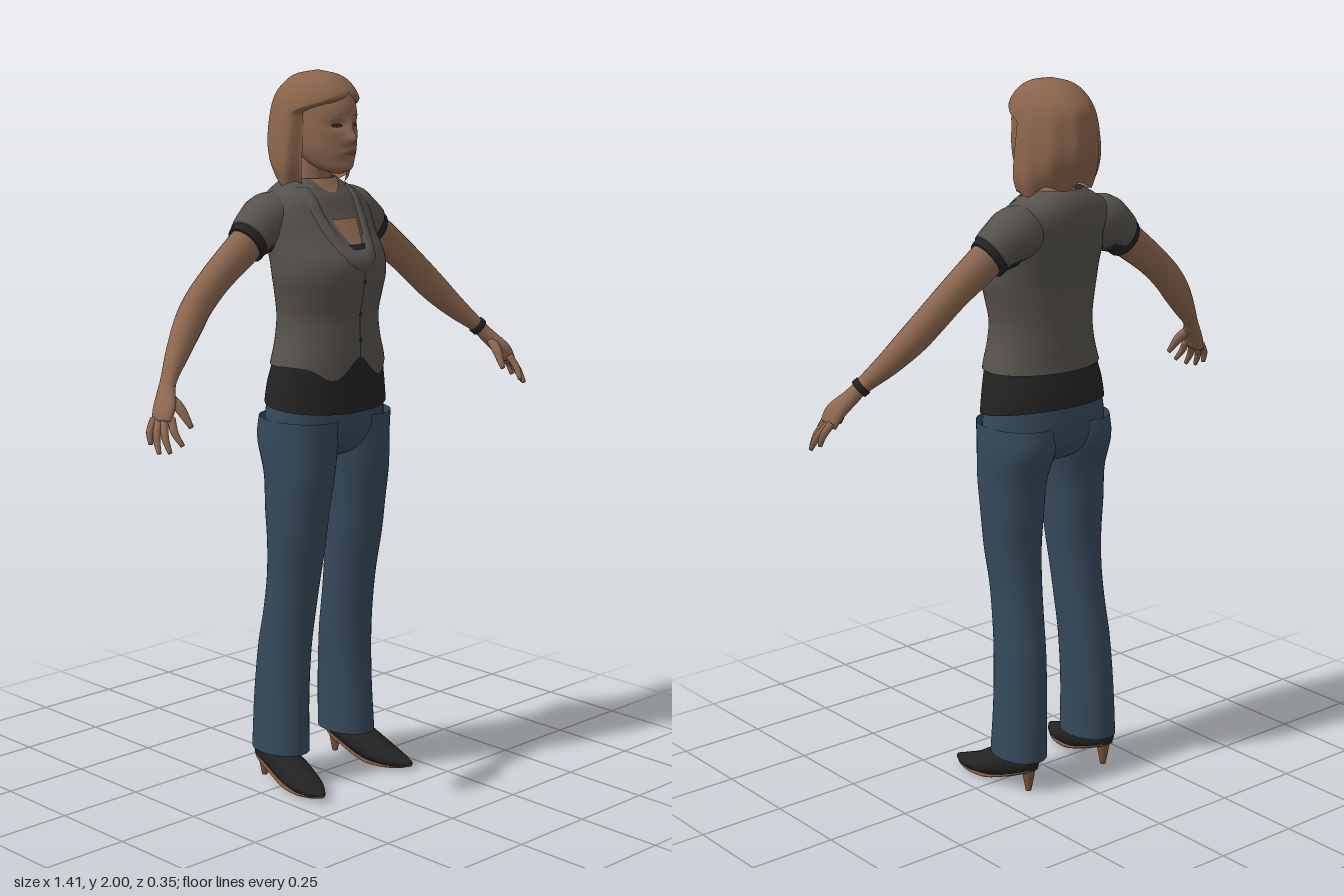
import * as THREE from 'three';
import { mergeVertices } from 'three/addons/utils/BufferGeometryUtils.js';

const mat = (name, color, side = THREE.FrontSide) => {
  const m = new THREE.MeshStandardMaterial({ color, side });
  m.name = name;
  return m;
};
const lerp = THREE.MathUtils.lerp;
const smooth = THREE.MathUtils.smoothstep;
const bell = (v, c, w) => Math.exp(-(((v - c) / w) ** 2));

// Smooth interpolation of table rows, keyed by the first column
function at(rows, k) {
  let i = 0;
  while (i < rows.length - 2 && (k - rows[i][0]) * (k - rows[i + 1][0]) > 0) i++;
  const a = rows[i], b = rows[i + 1], p = rows[i - 1] || a, n = rows[i + 2] || b;
  const d = b[0] - a[0], t = THREE.MathUtils.clamp((k - a[0]) / d, 0, 1);
  return a.map((v, c) => {
    const m0 = (b[c] - p[c]) / (b[0] - p[0]) * d, m1 = (n[c] - v) / (n[0] - a[0]) * d;
    const t2 = t * t, t3 = t2 * t;
    return (2 * t3 - 3 * t2 + 1) * v + (t3 - 2 * t2 + t) * m0 + (3 * t2 - 2 * t3) * b[c] + (t3 - t2) * m1;
  });
}

// Grid surface from fn(u, v) -> [x, y, z]; the front side is du x dv
function surface(nu, nv, fn) {
  const pos = [], idx = [];
  for (let i = 0; i <= nu; i++) for (let j = 0; j <= nv; j++) pos.push(...fn(i / nu, j / nv));
  for (let i = 0; i < nu; i++) for (let j = 0; j < nv; j++) {
    const a = i * (nv + 1) + j, b = a + nv + 1;
    idx.push(a, b, a + 1, b, b + 1, a + 1);
  }
  let g = new THREE.BufferGeometry();
  g.setAttribute('position', new THREE.Float32BufferAttribute(pos, 3));
  g.setIndex(idx);
  g = mergeVertices(g, 1e-5);
  g.computeVertexNormals();
  return g;
}

// Horizontal elliptical rings, rows from top down: [y, cx, cz, rx, rz]
function loft(rows, { nu = 40, nv = 40, side = 1, grow = 0, top = rows[0][0], bottom = () => rows[rows.length - 1][0], bump } = {}) {
  return surface(nu, nv, (u, v) => {
    const a = v * Math.PI * 2, y = lerp(top, bottom(a), u);
    const [, cx, cz, rx, rz] = at(rows, y);
    const x = cx * side + (rx + grow) * Math.sin(a), z = cz + (rz + grow) * Math.cos(a);
    return [x, y, z + (bump && Math.cos(a) > 0 ? bump(x, y) : 0)];
  });
}

// Closed tube along points [x, y, z, r, r2]; r lies towards ref, r2 across it
function limb(points, { side = 1, ref = [0, 0, 1], nu = 24, nv = 20 } = {}) {
  const rows = points.map(([x, y, z, r, r2 = r], i) => [i, x * side, y, z, r, r2]);
  const last = rows.length - 1, P = (k) => new THREE.Vector3(...at(rows, k).slice(1, 4));
  return surface(nu + 2, nv, (u, v) => {
    const i = Math.round(u * (nu + 2)), k = THREE.MathUtils.clamp((i - 1) / nu, 0, 1) * last;
    const q = at(rows, k), f = i === 0 || i === nu + 2 ? 0 : 1, a = v * Math.PI * 2;
    const T = P(Math.min(k + 0.05, last)).sub(P(Math.max(k - 0.05, 0))).normalize();
    const n = new THREE.Vector3(...ref);
    n.addScaledVector(T, -n.dot(T)).normalize();
    const b = n.clone().cross(T);
    return P(k).addScaledVector(n, f * q[4] * Math.cos(a)).addScaledVector(b, f * q[5] * Math.sin(a)).toArray();
  });
}

// Thin painted plate lying on a front surface
const patch = (zAt, cx, y0, y1, halfWidth, off = 0.004) => surface(16, 12, (u, v) => {
  const x = cx + (2 * u - 1) * halfWidth(v), y = lerp(y0, y1, v);
  return [x, y, zAt(x, y) + off];
});
const oval = (w) => (v) => w * Math.sqrt(Math.max(0, 1 - (2 * v - 1) ** 2));
const frontOf = (rows, bump = () => 0) => (x, y) => {
  const [, cx, cz, rx, rz] = at(rows, y);
  return cz + rz * Math.sqrt(Math.max(0, 1 - ((x - cx) / rx) ** 2)) + bump(x, y);
};

const TORSO = [
  [1.71, 0, -0.06, 0.066, 0.055], [1.69, 0, -0.062, 0.1, 0.07], [1.66, 0, -0.055, 0.15, 0.088],
  [1.62, 0, -0.045, 0.175, 0.1], [1.56, 0, -0.02, 0.168, 0.115], [1.5, 0, 0.008, 0.166, 0.13],
  [1.45, 0, 0.016, 0.165, 0.127], [1.4, 0, 0.014, 0.155, 0.122], [1.34, 0, 0.01, 0.146, 0.115],
  [1.28, 0, 0.01, 0.152, 0.117], [1.22, 0, 0.01, 0.17, 0.119], [1.15, 0, 0.003, 0.186, 0.127], [1.07, 0, 0, 0.196, 0.132]];
const PELVIS = [
  [1.14, 0, 0, 0.182, 0.122], [1.05, 0, -0.002, 0.194, 0.128], [1.0, 0, -0.005, 0.18, 0.118],
  [0.96, 0, -0.003, 0.12, 0.085], [0.93, 0, 0, 0.01, 0.01]];
const LEG = [
  [1.06, 0.098, 0, 0.098, 0.127], [1.0, 0.1, -0.006, 0.099, 0.127], [0.9, 0.106, 0.007, 0.09, 0.108],
  [0.8, 0.11, 0.003, 0.084, 0.096], [0.7, 0.111, 0, 0.078, 0.086], [0.6, 0.111, -0.012, 0.07, 0.081],
  [0.5, 0.114, -0.026, 0.068, 0.08], [0.4, 0.119, -0.04, 0.067, 0.084], [0.25, 0.125, -0.048, 0.066, 0.09], [0.095, 0.13, -0.047, 0.07, 0.094]];
const HEAD = [
  [1.99, 0, -0.025, 0.01, 0.01], [1.975, 0, -0.025, 0.05, 0.065], [1.92, 0, -0.017, 0.08, 0.102],
  [1.86, 0, -0.01, 0.082, 0.105], [1.8, 0, 0, 0.076, 0.095], [1.76, 0, 0.018, 0.06, 0.073],
  [1.735, 0, 0.042, 0.038, 0.042], [1.725, 0, 0.05, 0.008, 0.01]];
const HAIR = [
  [2.0, 0, -0.03, 0.003, 0.003], [1.99, 0, -0.03, 0.045, 0.06], [1.97, 0, -0.03, 0.076, 0.096],
  [1.93, 0, -0.033, 0.099, 0.129], [1.88, 0, -0.04, 0.111, 0.133], [1.8, 0, -0.042, 0.122, 0.133],
  [1.74, 0, -0.04, 0.125, 0.118], [1.69, 0, -0.04, 0.112, 0.1]];

// Nose, eye sockets, brow and lips
const face = (x, y) => 0.025 * bell(x, 0, 0.014) * bell(y, 1.822, 0.017) + 0.011 * bell(x, 0, 0.011) * bell(y, 1.85, 0.02)
  - 0.01 * bell(Math.abs(x), 0.034, 0.018) * bell(y, 1.858, 0.013) + 0.006 * bell(x, 0, 0.025) * bell(y, 1.784, 0.01)
  + 0.005 * bell(x, 0, 0.02) * bell(y, 1.745, 0.012);

export function createModel() {
  const root = new THREE.Group();
  const D = THREE.DoubleSide;
  const skin = mat('skin', 0x8c674f), hairMat = mat('hair', 0x8a644a, D), vest = mat('vest grey', 0x56524d, D);
  const black = mat('black cloth', 0x232324, D), denim = mat('denim', 0x35495a, D), sole = mat('sole brown', 0x7a563d);
  const dark = mat('eye brown', 0x35261d), lip = mat('lip', 0x7c4b3f);
  const add = (name, geometry, material, parent = root) => {
    const m = new THREE.Mesh(geometry, material);
    m.name = name;
    parent.add(m);
    return m;
  };

  // Head and face
  add('head', loft(HEAD, { nu: 64, nv: 64, bump: face }), skin);
  add('neck', loft([[1.79, 0, -0.03, 0.048, 0.05], [1.72, 0, -0.05, 0.05, 0.053], [1.68, 0, -0.058, 0.062, 0.058], [1.64, 0, -0.06, 0.08, 0.07]], { nu: 16 }), skin);
  const faceZ = frontOf(HEAD, face);
  for (const s of [1, -1]) {
    add('eye', patch(faceZ, s * 0.034, 1.851, 1.863, oval(0.014), 0.002), dark);
    add('eyebrow', patch(faceZ, s * 0.036, 1.88, 1.885, oval(0.02), 0.002), hairMat);
  }
  add('lips', patch(faceZ, 0, 1.778, 1.79, oval(0.024), 0.002), lip);

  // Bobbed hair, open around the face, with soft strands and uneven tips
  add('hair', surface(48, 112, (u, v) => {
    const s = 2 * v - 1, y = 2 - 0.3 * u ** 1.5, closed = smooth(y, 1.885, 1.945);
    const b = s * (2.0 + (Math.PI - 2.0) * closed), a = b + Math.PI;
    const [, , cz, rx, rz] = at(HAIR, y);
    const edge = 1 - 0.24 * smooth(Math.abs(s), 0.84, 1) * (1 - closed);
    const f = edge * (1 + 0.018 * Math.sin(b * 11 + y * 9) * smooth(u, 0.15, 0.6) * (1 - closed * 0.7));
    return [rx * f * Math.sin(a), y + u ** 4 * (0.022 * Math.cos(b) + 0.01 * Math.sin(b * 7 + 1)), cz + rz * f * Math.cos(a)];
  }), hairMat);

  // Undershirt and vest with a wavy front hem
  add('undershirt', loft(TORSO, { top: 1.32, grow: 0.003, bottom: (a) => 1.095 - 0.017 * Math.cos(a) }), black);
  const hem = (a) => {
    const x = Math.sin(a) * 0.175;
    return Math.cos(a) < 0 ? 1.21 : 1.212 - 0.04 * bell(Math.abs(x), 0.08, 0.045) + 0.022 * bell(x, 0, 0.03);
  };
  add('vest', loft(TORSO, { nu: 56, nv: 64, grow: 0.009, bottom: hem }), vest);
  const chestZ = frontOf(TORSO.map(([y, x, z, rx, rz]) => [y, x, z, rx + 0.009, rz + 0.009]));
  add('lapel', surface(8, 48, (u, v) => {
    const a = Math.PI * (1 - v), x = lerp(0.068, 0.1, u) * Math.cos(a), y = 1.69 - lerp(0.168, 0.222, u) * Math.sin(a);
    return [x, y, chestZ(x, y) + 0.002 + 0.008 * Math.sin(Math.PI * u) ** 0.6];
  }), vest);
  add('neckline', patch(chestZ, 0, 1.535, 1.605, (v) => 0.045 * Math.sqrt(Math.min(1, v + 0.12))), skin);
  add('camisoleTrim', patch(chestZ, 0, 1.526, 1.54, (v) => 0.022 + 0.01 * v, 0.006), black);
  add('throat', patch(chestZ, 0, 1.672, 1.71, (v) => 0.05 * Math.sqrt(v), 0.003), skin);
  add('frontSeam', patch(chestZ, 0, 1.235, 1.468, () => 0.0018, 0.002), black);
  for (const y of [1.44, 1.35, 1.28]) add('button', patch(chestZ, 0, y - 0.006, y + 0.006, oval(0.006)), black);

  // Jeans seat
  add('jeansSeat', loft(PELVIS), denim);

  for (const side of [1, -1]) {
    const o = { side };
    // Sleeve, cuff and arm
    add('sleeve', limb([[0.09, 1.615, -0.06, 0.065, 0.06], [0.15, 1.603, -0.065, 0.075, 0.074], [0.195, 1.58, -0.062, 0.066, 0.067], [0.228, 1.557, -0.058, 0.058, 0.06]], o), vest);
    add('cuff', limb([[0.17, 1.572, -0.062, 0.056, 0.058], [0.213, 1.562, -0.06, 0.057, 0.06], [0.243, 1.541, -0.058, 0.053, 0.058]], o), black);
    add('arm', limb([[0.2, 1.575, -0.06, 0.045, 0.05], [0.26, 1.53, -0.056, 0.045, 0.05], [0.35, 1.465, -0.052, 0.04, 0.045],
      [0.42, 1.405, -0.045, 0.038, 0.044], [0.47, 1.355, -0.03, 0.037, 0.042], [0.53, 1.295, -0.002, 0.031, 0.033],
      [0.59, 1.238, 0.033, 0.023, 0.021], [0.615, 1.208, 0.05, 0.026, 0.02], [0.645, 1.17, 0.076, 0.036, 0.019], [0.662, 1.138, 0.085, 0.034, 0.014]], { side, nu: 48 }), skin);
    // Fingers and thumb: knuckle to tip
    [[0.648, 1.15, 0.108, 0.648, 1.085, 0.152], [0.658, 1.146, 0.093, 0.68, 1.07, 0.14],
      [0.665, 1.142, 0.078, 0.698, 1.068, 0.118], [0.667, 1.146, 0.062, 0.694, 1.085, 0.08]].forEach(([x, y, z, tx, ty, tz]) => {
      add('finger', limb([[x, y, z, 0.011], [(x + tx) / 2 + 0.008, (y + ty) / 2, (z + tz) / 2, 0.01], [tx, ty, tz, 0.006]], { side, nu: 8, nv: 10 }), skin);
    });
    add('thumb', limb([[0.618, 1.2, 0.06, 0.014], [0.608, 1.168, 0.096, 0.014], [0.598, 1.122, 0.128, 0.007]], { side, nu: 10, nv: 10 }), skin);

    // Trouser leg
    add('trouserLeg', loft(LEG, o), denim);

    // Pointed heeled shoe with brown sole and heel
    const shoe = [[0.14, 0.09, -0.122, 0.026, 0.026], [0.142, 0.088, -0.095, 0.036, 0.038], [0.147, 0.075, -0.04, 0.046, 0.042],
      [0.154, 0.049, 0.03, 0.042, 0.049], [0.163, 0.031, 0.09, 0.027, 0.048], [0.171, 0.023, 0.14, 0.017, 0.03], [0.176, 0.022, 0.174, 0.007, 0.008]];
    const up = { side, ref: [0, 1, 0] };
    add('shoe', limb(shoe, up), black);
    add('shoeSole', limb(shoe.map(([x, y, z, r, w]) => [x, y - r + 0.004, z, 0.005, w * 0.85]), up), sole);
    add('ankle', loft([[0.2, 0.135, -0.055, 0.042, 0.055], [0.08, 0.143, -0.06, 0.04, 0.058]], { side, nu: 4 }), black);
    add('heel', new THREE.CylinderGeometry(0.02, 0.008, 0.066, 16), sole).position.set(side * 0.141, 0.033, -0.104);
  }

  // Bracelet on the left wrist
  add('bracelet', limb([[0.586, 1.242, 0.03, 0.027, 0.026], [0.597, 1.231, 0.037, 0.027, 0.026]], { nu: 4 }), black);
  return root;
}
